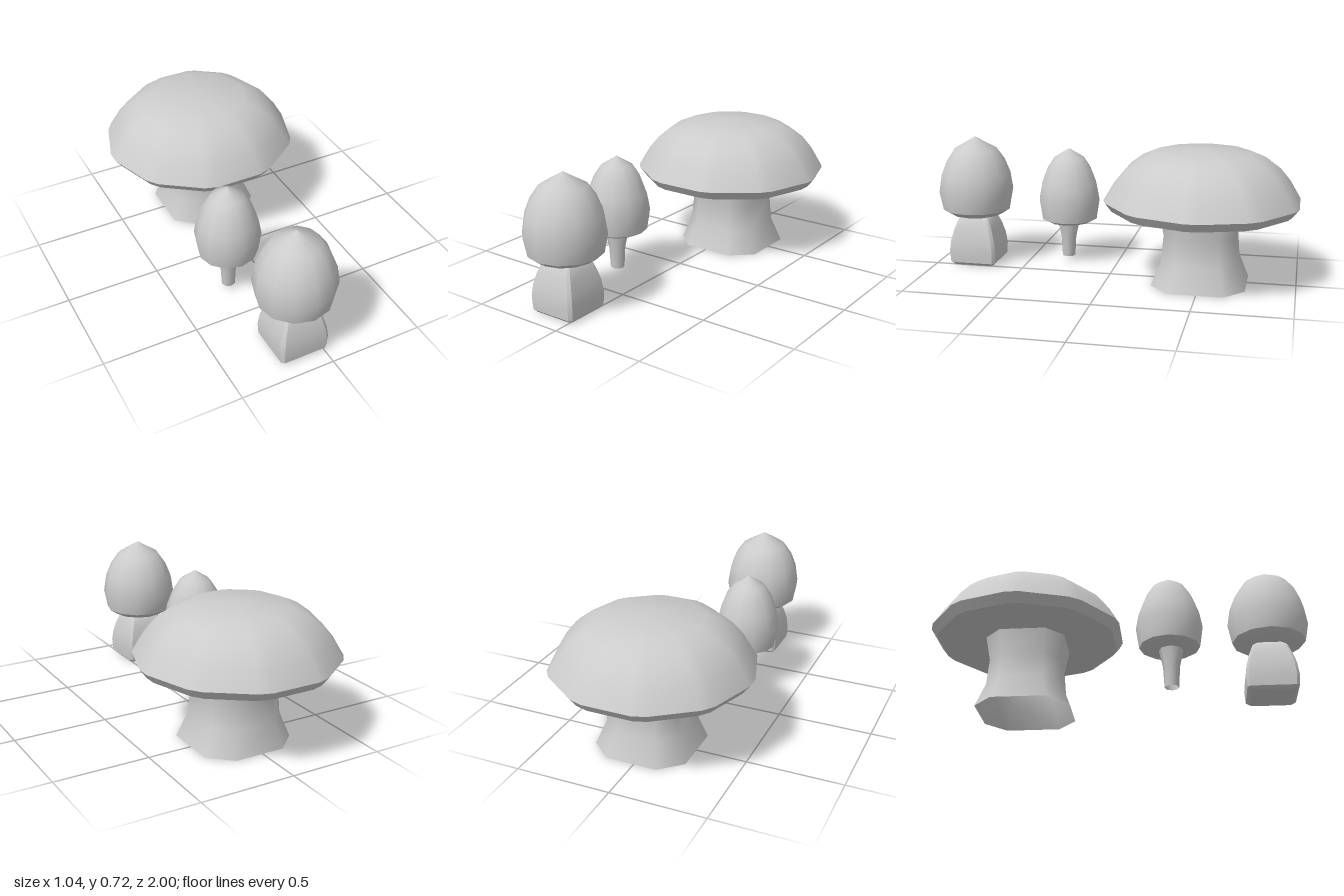
import * as THREE from 'three';
import { toCreasedNormals } from 'three/addons/utils/BufferGeometryUtils.js';

const material = new THREE.MeshStandardMaterial({ color: 0xcccccc, side: THREE.DoubleSide });

// Regular outline of unit radius; a bevel angle splits each corner in two
function polygon(sides, bevel = 0) {
  const points = [];
  for (let i = 0; i < sides; i++) {
    const a = (i / sides) * Math.PI * 2;
    for (const t of bevel ? [a - bevel, a + bevel] : [a]) points.push([Math.cos(t), Math.sin(t)]);
  }
  return points;
}

// Sweeps an outline up a profile of [scale, height], lower end first
function loft(name, outline, profile, crease, x, z) {
  const n = outline.length;
  const positions = [];
  const index = [];
  for (const [s, y] of profile) for (const [px, pz] of outline) positions.push(px * s, y, pz * s);
  for (let i = 0; i < profile.length - 1; i++) {
    for (let j = 0; j < n; j++) {
      const a = i * n + j, b = i * n + ((j + 1) % n);
      if (profile[i][0] > 0) index.push(a, a + n, b);
      if (profile[i + 1][0] > 0) index.push(b, a + n, b + n);
    }
  }
  const geometry = new THREE.BufferGeometry();
  geometry.setAttribute('position', new THREE.Float32BufferAttribute(positions, 3));
  geometry.setIndex(index);
  const mesh = new THREE.Mesh(toCreasedNormals(geometry, crease), material);
  mesh.name = name;
  mesh.position.set(x, 0, z);
  return mesh;
}

function mushroom(name, ...parts) {
  const group = new THREE.Group();
  group.name = name;
  group.add(...parts);
  return group;
}

export function createModel() {
  const model = new THREE.Group();
  model.name = 'mushrooms';

  // Large mushroom: broad ten-sided cap on a flared, open-ended stem
  const half = [[0.265, 0.145], [0.15, 0.247], [-0.12, 0.247], [-0.233, 0.143]];
  const flared = [...half, ...half.map(([x, z]) => [x, -z]).reverse()];
  model.add(mushroom('largeMushroom',
    loft('largeCap', polygon(10, 0.07),
      [[0, 0.398], [0.485, 0.398], [0.521, 0.445], [0.465, 0.54], [0.41, 0.607], [0.34, 0.66], [0.26, 0.695], [0, 0.716]],
      0.7, 0, -0.495),
    loft('largeStem', flared,
      [[1, 0], [0.8, 0.13], [0.755, 0.27], [0.85, 0.4]], 1, 0, -0.495)));

  // Middle mushroom: egg-shaped cap on a thin tapering stem
  model.add(mushroom('middleMushroom',
    loft('middleCap', polygon(12),
      [[0, 0.235], [0.122, 0.235], [0.156, 0.253], [0.173, 0.365], [0.157, 0.45], [0.125, 0.535], [0.085, 0.597], [0, 0.65]],
      0.7, -0.207, 0.276),
    loft('middleStem', polygon(8),
      [[0.037, 0.03], [0.043, 0.14], [0.064, 0.24]], 0.8, -0.21, 0.283)));

  // Front mushroom: larger egg-shaped cap on a squat, rounded square stem
  const square = [];
  for (let k = 0; k < 4; k++) {
    const a = (k * Math.PI) / 2, c = Math.cos(a), s = Math.sin(a);
    for (const w of [-0.88, 0.88]) square.push([c - s * w, s + c * w]);
  }
  model.add(mushroom('frontMushroom',
    loft('frontCap', polygon(12),
      [[0, 0.28], [0.145, 0.28], [0.19, 0.31], [0.21, 0.41], [0.195, 0.505], [0.165, 0.58], [0.12, 0.645], [0, 0.715]],
      0.7, -0.11, 0.79),
    loft('frontStem', square,
      [[0, 0], [0.112, 0], [0.129, 0.016], [0.133, 0.08], [0.126, 0.14], [0.11, 0.2], [0.087, 0.262], [0.066, 0.28], [0, 0.28]],
      0.7, -0.11, 0.787)));

  return model;
}
